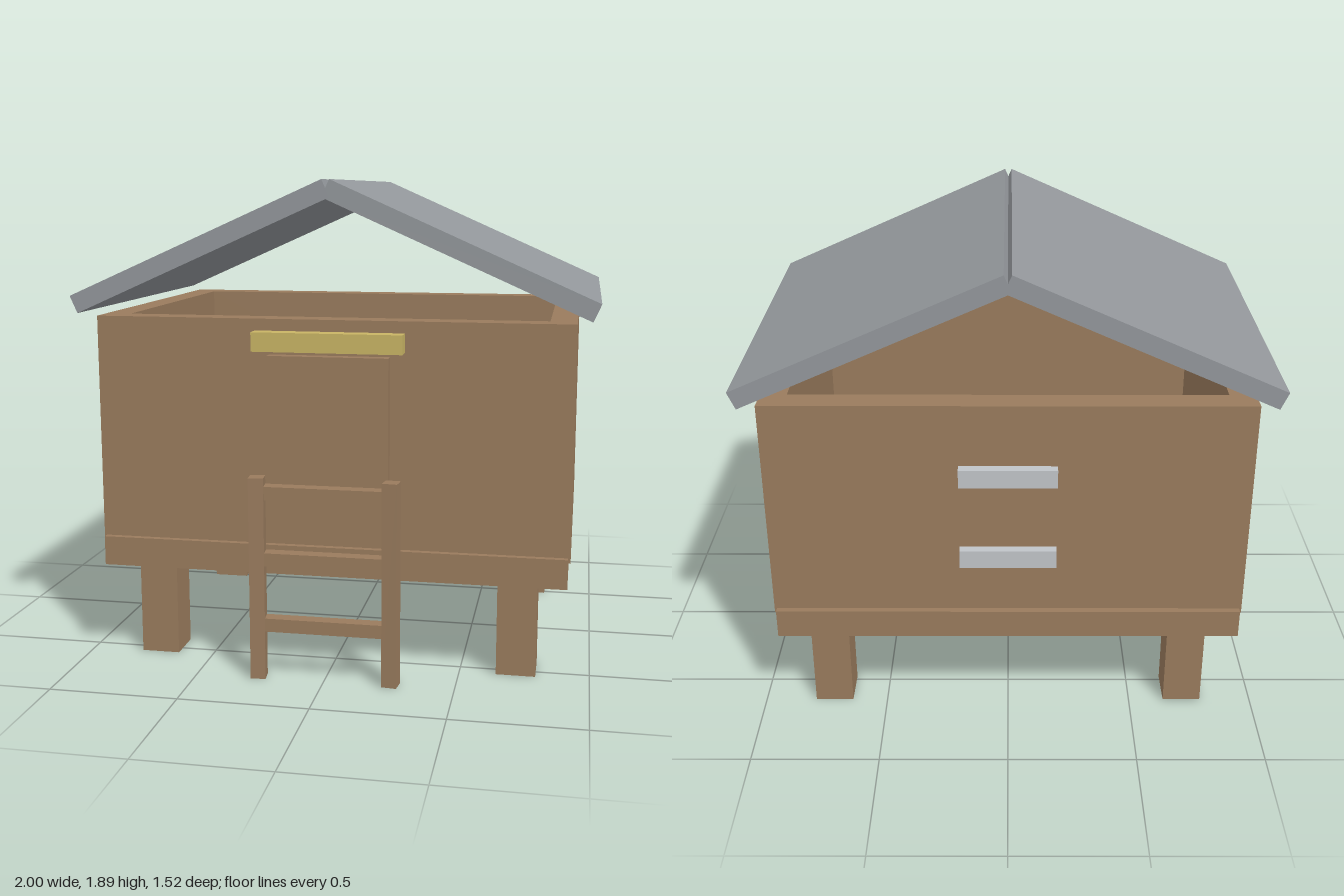
import * as THREE from 'three';

export function createModel() {
  const model = new THREE.Group();
  model.name = 'raisedHut';

  const material = (name, color) => {
    const m = new THREE.MeshStandardMaterial({ color });
    m.name = name;
    return m;
  };
  const wood = material('wood', 0x997b5d);
  const slate = material('greyRoof', 0x93979b);
  const yellow = material('yellowTrim', 0xc8b464);
  const metal = material('paleMetal', 0xc0c4c8);

  const add = (name, geometry, mat, parent = model) => {
    const mesh = new THREE.Mesh(geometry, mat);
    mesh.name = name;
    parent.add(mesh);
    return mesh;
  };
  // Box given by its extents along each axis
  const box = (name, [x0, x1], [y0, y1], [z0, z1], mat, parent) => {
    const mesh = add(name, new THREE.BoxGeometry(x1 - x0, y1 - y0, z1 - z0), mat, parent);
    mesh.position.set((x0 + x1) / 2, (y0 + y1) / 2, (z0 + z1) / 2);
    return mesh;
  };
  const rectangle = (path, x, y0, y1) => {
    path.moveTo(-x, y0).lineTo(x, y0).lineTo(x, y1).lineTo(-x, y1).closePath();
    return path;
  };

  // Floor slab
  box('floor', [-0.907, 0.907], [0.385, 0.5], [-0.725, 0.64], wood);

  // Hollow walls, open at the top (shape y becomes -z)
  const plan = rectangle(new THREE.Shape(), 0.916, -0.615, 0.7);
  plan.holes.push(rectangle(new THREE.Path(), 0.816, -0.515, 0.6));
  const wallGeometry = new THREE.ExtrudeGeometry(plan, { depth: 0.895, bevelEnabled: false });
  wallGeometry.rotateX(-Math.PI / 2);
  add('walls', wallGeometry, wood).position.y = 0.48;

  // Door and the trim above it
  box('door', [-0.232, 0.232], [0.587, 1.24], [0.6, 0.66], wood);
  box('doorTrim', [-0.287, 0.287], [1.257, 1.33], [0.6, 0.68], yellow);

  // Back handles
  for (const y of [0.71, 1.057]) {
    box('backHandle', [-0.185, 0.185], [y, y + 0.073], [-0.737, -0.69], metal);
  }

  const ladder = new THREE.Group();
  ladder.name = 'ladder';
  model.add(ladder);

  for (const side of [-1, 1]) {
    // Legs
    for (const z of [0.475, -0.555]) {
      const leg = add('leg', new THREE.BoxGeometry(0.152, 0.385, 0.152), wood);
      leg.position.set(side * 0.718, 0.1925, z);
    }
    // Roof slopes
    const slope = add('roofSlope', new THREE.BoxGeometry(1.078, 0.0716, 1.435), slate);
    slope.position.set(side * 0.4925, 1.641, -0.0425);
    slope.rotation.z = -side * 0.418;
    // Ladder rails, turned slightly outwards
    const rail = add('ladderRail', new THREE.BoxGeometry(0.058, 0.79, 0.058), wood, ladder);
    rail.position.set(side * 0.257, 0.395, 0.732);
    rail.rotation.y = -side * 0.11;
  }

  // Ladder rungs
  for (const y of [0.19, 0.448, 0.706]) {
    box('ladderRung', [-0.24, 0.24], [y, y + 0.052], [0.701, 0.755], wood, ladder);
  }

  return model;
}
